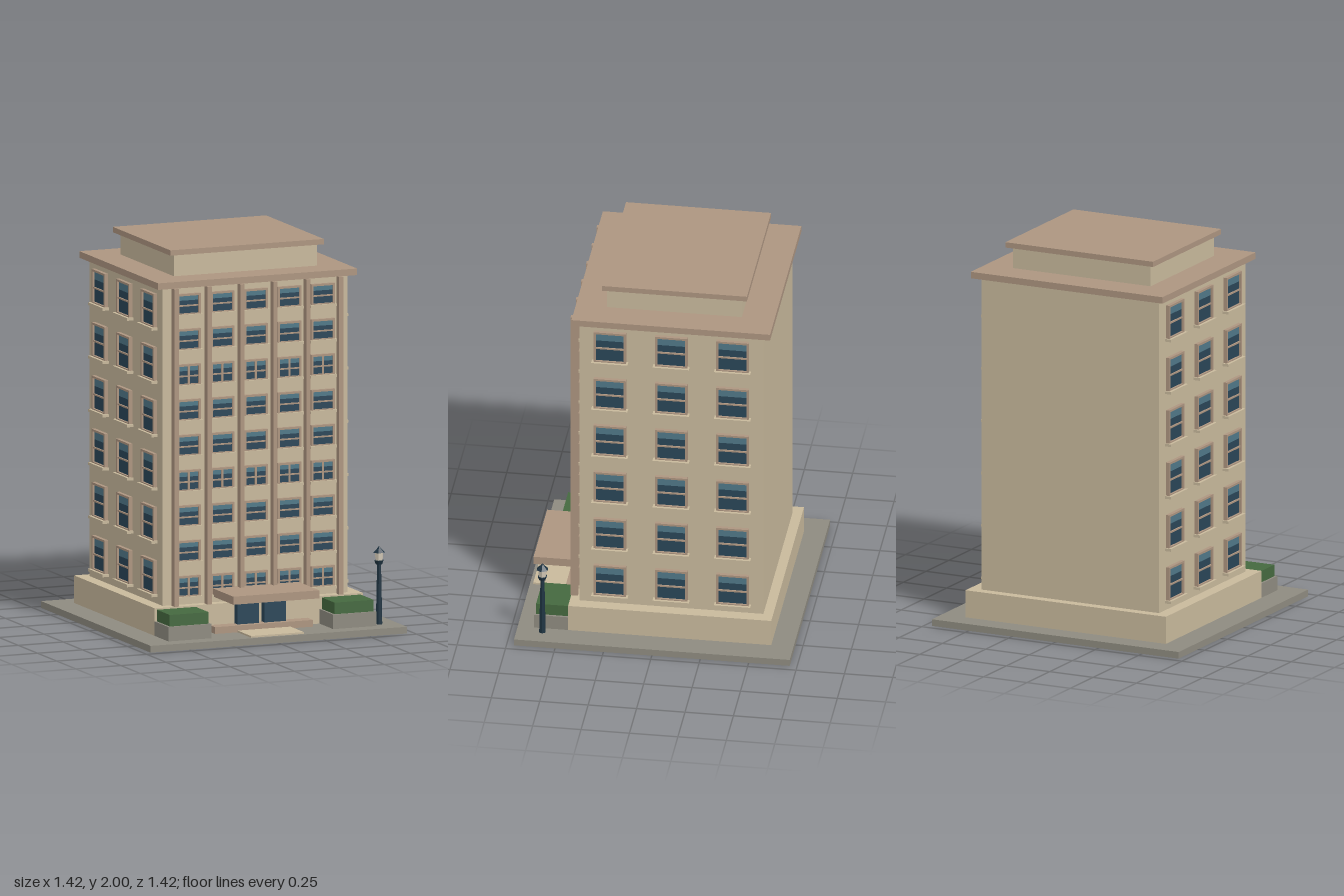
import * as THREE from 'three';

const material = (name, color, extra = {}) => {
  const m = new THREE.MeshStandardMaterial({ color, ...extra });
  m.name = name;
  return m;
};

export function createModel() {
  const wall = material('wall stone', 0xc8b99c);
  const trim = material('brown trim', 0xad9580);
  const paving = material('grey paving', 0x8e8b80);
  const hedgeGreen = material('hedge green', 0x45693f);
  const darkGlass = material('dark glass', 0x2a4658);
  const paleGlass = material('pale glass', 0x507888);
  const iron = material('dark iron', 0x1f3442);
  const lampGlass = material('lamp glass', 0xd2c8b6);

  const model = new THREE.Group();
  model.name = 'apartmentBuilding';

  // Box given by its extents on each axis
  const box = (parent, name, mat, [x0, x1], [y0, y1], [z0, z1]) => {
    const mesh = new THREE.Mesh(new THREE.BoxGeometry(x1 - x0, y1 - y0, z1 - z0), mat);
    mesh.position.set((x0 + x1) / 2, (y0 + y1) / 2, (z0 + z1) / 2);
    mesh.name = name;
    parent.add(mesh);
    return mesh;
  };

  // Main masses
  box(model, 'groundSlab', paving, [-0.712, 0.712], [0, 0.035], [-0.712, 0.712]);
  box(model, 'plinth', wall, [-0.578, 0.578], [0.035, 0.178], [-0.597, 0.452]);
  box(model, 'tower', wall, [-0.513, 0.513], [0.178, 1.826], [-0.547, 0.403]);
  box(model, 'cornice', trim, [-0.553, 0.553], [1.826, 1.86], [-0.587, 0.438]);
  box(model, 'penthouse', wall, [-0.397, 0.397], [1.86, 1.972], [-0.419, 0.278]);
  box(model, 'penthouseRoof', trim, [-0.426, 0.426], [1.972, 2], [-0.449, 0.3]);

  // Slender pilasters standing just clear of the front wall
  for (let i = 0; i < 6; i++) {
    const x = (i - 2.5) * 0.183;
    box(model, 'pilaster', trim, [x - 0.012, x + 0.012], [0.178, 1.826], [0.417, 0.455]);
  }

  // Window facing +z, centred on its frame, with its back at z = 0
  const makeWindow = (w, h, { t, sillOut, sillWidth, sillHeight, depth, cross }) => {
    const win = new THREE.Group();
    win.name = 'window';
    const gw = w / 2 - t, gh = h / 2 - t;
    const outline = new THREE.Shape();
    outline.moveTo(-w / 2, -h / 2).lineTo(w / 2, -h / 2).lineTo(w / 2, h / 2).lineTo(-w / 2, h / 2).closePath();
    const opening = new THREE.Path();
    opening.moveTo(-gw, -gh).lineTo(-gw, gh).lineTo(gw, gh).lineTo(gw, -gh).closePath();
    outline.holes.push(opening);
    const frame = new THREE.Mesh(new THREE.ExtrudeGeometry(outline, { depth, bevelEnabled: false }), trim);
    frame.name = 'windowFrame';
    win.add(frame);
    const split = gh - gh * 2 * 0.27;
    box(win, 'glass', darkGlass, [-gw, gw], [-gh, split], [0, 0.008]);
    box(win, 'upperGlass', paleGlass, [-gw, gw], [split, gh], [0, 0.008]);
    box(win, 'transom', trim, [-gw, gw], [-0.01, -0.002], [0, depth * 0.8]);
    if (cross) box(win, 'mullion', trim, [-0.005, 0.005], [-gh, gh], [0, depth * 0.8]);
    box(win, 'sill', wall, [-sillWidth / 2, sillWidth / 2],
      [-h / 2 - sillHeight * 0.6, -h / 2 + sillHeight * 0.4], [0, sillOut]);
    return win;
  };

  // Front windows: nine storeys of five, every third storey with mullions
  const frontStyle = { t: 0.011, sillOut: 0.026, sillWidth: 0.148, sillHeight: 0.014, depth: 0.016 };
  for (let row = 0; row < 9; row++) {
    const pattern = makeWindow(0.13, 0.112, { ...frontStyle, cross: row % 3 === 0 });
    for (let col = -2; col <= 2; col++) {
      const win = pattern.clone();
      win.position.set(col * 0.1865, 0.271 + row * 0.183, 0.403);
      model.add(win);
    }
  }

  // Side windows: six rows of three on both sides
  const sidePattern = makeWindow(0.167, 0.18,
    { t: 0.011, sillOut: 0.035, sillWidth: 0.188, sillHeight: 0.014, depth: 0.02, cross: false });
  for (const side of [-1, 1]) {
    for (let row = 0; row < 6; row++) {
      for (let col = -1; col <= 1; col++) {
        const win = sidePattern.clone();
        win.rotation.y = side * Math.PI / 2;
        win.position.set(side * 0.513, 0.313 + row * 0.2765, -0.073 + col * 0.317);
        model.add(win);
      }
    }
  }

  // Entrance: canopy, landing, step and a pair of doors
  box(model, 'canopy', trim, [-0.239, 0.239], [0.21, 0.252], [0.403, 0.68]);
  box(model, 'landing', trim, [-0.272, 0.272], [0.035, 0.07], [0.45, 0.521]);
  box(model, 'entranceStep', wall, [-0.147, 0.147], [0.035, 0.044], [0.521, 0.695]);
  for (const side of [-1, 1]) {
    const x = side * 0.075;
    box(model, 'door', darkGlass, [x - 0.06, x + 0.06], [0.07, 0.21], [0.45, 0.492]);
  }

  // Planters with clipped hedges
  for (const side of [-1, 1]) {
    const x = side * 0.458;
    box(model, 'planter', paving, [x - 0.12, x + 0.12], [0.035, 0.11], [0.452, 0.629]);
    box(model, 'hedge', hedgeGreen, [x - 0.108, x + 0.108], [0.11, 0.17], [0.452, 0.619]);
  }

  // Street lamp, hexagonal in plan
  const lamp = new THREE.Group();
  lamp.name = 'streetLamp';
  lamp.position.set(0.614, 0, 0.579);
  const hexPart = (name, mat, rTop, rBottom, y0, y1) => {
    const mesh = new THREE.Mesh(
      new THREE.CylinderGeometry(rTop, rBottom, y1 - y0, 6).toNonIndexed(), mat);
    mesh.geometry.computeVertexNormals();
    mesh.rotation.y = Math.PI / 6 + Math.PI / 3;
    mesh.position.y = (y0 + y1) / 2;
    mesh.name = name;
    lamp.add(mesh);
  };
  hexPart('lampPost', iron, 0.011, 0.018, 0.035, 0.345);
  hexPart('lampCup', iron, 0.026, 0.018, 0.345, 0.366);
  hexPart('lantern', lampGlass, 0.023, 0.02, 0.366, 0.408);
  hexPart('lampCap', iron, 0.006, 0.032, 0.406, 0.432);
  hexPart('lampFinial', iron, 0.002, 0.006, 0.432, 0.44);
  model.add(lamp);

  return model;
}
